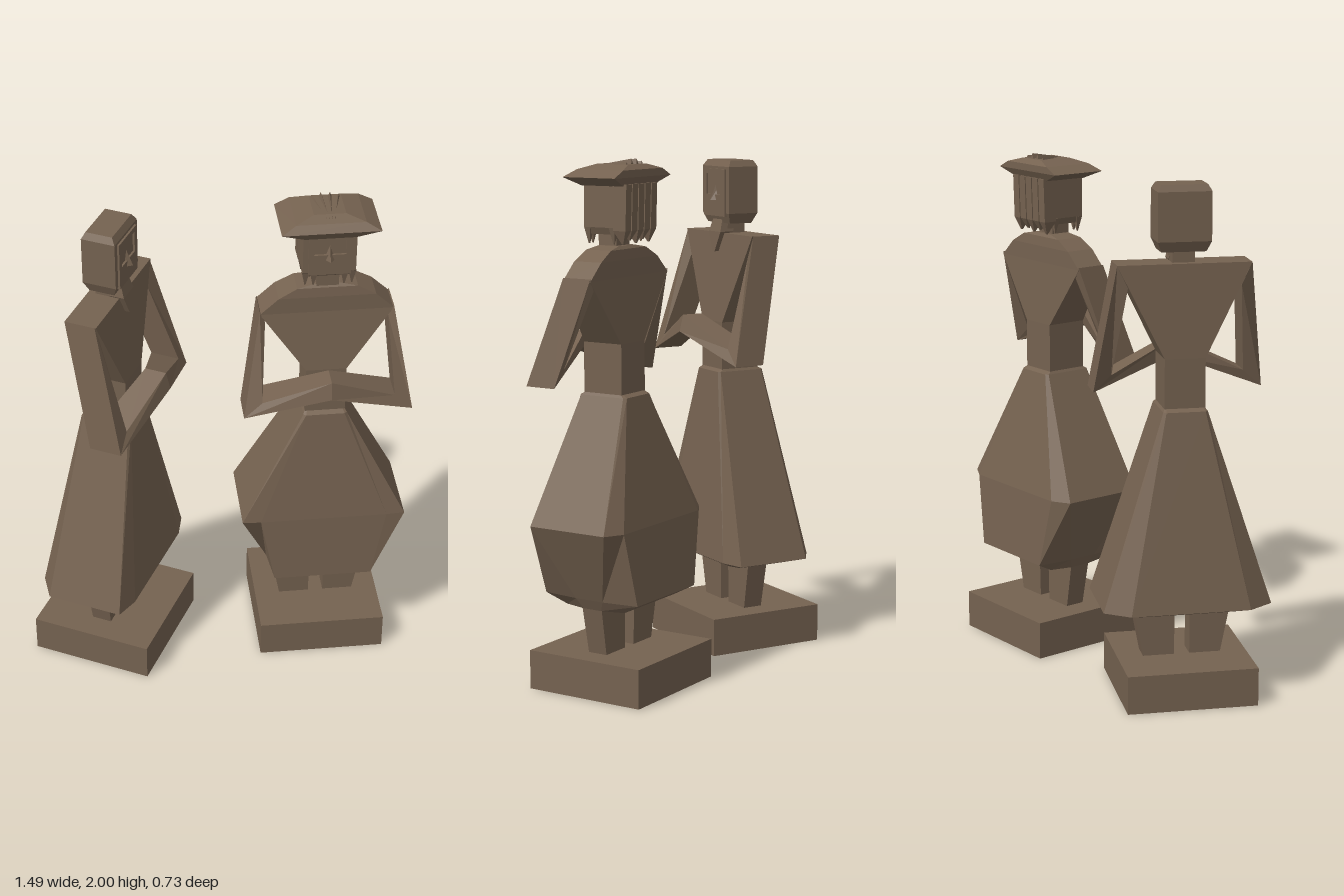
import * as THREE from 'three';

const material = new THREE.MeshStandardMaterial({ color: 0x756250, flatShading: true });

function add(parent, name, geometry, x = 0, y = 0, z = 0) {
  const mesh = new THREE.Mesh(geometry, material);
  mesh.name = name;
  mesh.position.set(x, y, z);
  parent.add(mesh);
}

function box(parent, name, w, h, d, x, y, z) {
  add(parent, name, new THREE.BoxGeometry(w, h, d), x, y, z);
}

// Closed faceted solid through a list of rings with equal point counts
function loft(rings) {
  const n = rings[0].length, tris = [];
  for (let i = 0; i + 1 < rings.length; i++) {
    for (let j = 0; j < n; j++) {
      const k = (j + 1) % n;
      const a = rings[i][j], b = rings[i][k], c = rings[i + 1][k], d = rings[i + 1][j];
      tris.push([a, b, c], [a, c, d]);
    }
  }
  const last = rings[rings.length - 1];
  for (let j = 1; j + 1 < n; j++) {
    tris.push([rings[0][0], rings[0][j + 1], rings[0][j]], [last[0], last[j], last[j + 1]]);
  }
  // Turn the surface outward if the rings ran the other way
  let volume = 0;
  const [a, b, c] = [0, 0, 0].map(() => new THREE.Vector3());
  for (const t of tris) volume += a.fromArray(t[0]).dot(b.fromArray(t[1]).cross(c.fromArray(t[2])));
  if (volume < 0) tris.forEach(t => t.reverse());
  const geometry = new THREE.BufferGeometry();
  geometry.setAttribute('position', new THREE.Float32BufferAttribute(tris.flat(2), 3));
  geometry.computeVertexNormals();
  return geometry;
}

// Horizontal rectangle: half width, height, back z, front z
const rect = (w, y, zb, zf, x = 0) => [[x - w, y, zb], [x - w, y, zf], [x + w, y, zf], [x + w, y, zb]];

// Horizontal octagon: outer half width with its z span, inner half width with its z span
const oct = (y, w, zb, zf, wi, zbi, zfi) => [
  [-w, y, zb], [-w, y, zf], [-wi, y, zfi], [wi, y, zfi],
  [w, y, zf], [w, y, zb], [wi, y, zbi], [-wi, y, zbi]];

// Both arms as one folded bar, meeting at the hands in front
function arms(shoulderY, innerX, innerY) {
  const half = [
    [[.255, shoulderY, .075], [.255, shoulderY, -.045], [innerX, innerY, -.045], [innerX, innerY, .075]],
    [[.325, 1.175, .195], [.325, 1.175, .07], [.255, 1.238, .075], [.255, 1.238, .19]],
    [[0, 1.285, .262], [0, 1.285, .17], [0, 1.352, .16], [0, 1.352, .245]]];
  const mirror = ring => ring.map(([x, y, z]) => [-x, y, z]);
  return loft([...half, mirror(half[1]), mirror(half[0])]);
}

// Brow, sides and lower face standing around the sunken eyes, with a short nose
function face(parent, z) {
  const g = new THREE.Group();
  g.name = 'face';
  parent.add(g);
  box(g, 'brow', .16, .02, .02, 0, 1.92, z);
  box(g, 'lowerFace', .16, .085, .02, 0, 1.785, z);
  for (const s of [-1, 1]) box(g, 'temple', .02, .085, .02, s * .07, 1.868, z);
  add(g, 'nose', loft([
    [[-.025, 1.805, z], [0, 1.805, z + .028], [.025, 1.805, z]],
    [[-.008, 1.87, z - .015], [0, 1.87, z], [.008, 1.87, z - .015]]]));
}

// Parts shared by both figures
function figureBase(name) {
  const g = new THREE.Group();
  g.name = name;
  box(g, 'plinth', .505, .15, .495, 0, .075, 0);
  for (const s of [-1, 1]) {
    add(g, 'leg', loft([
      rect(.06, .14, -.035, .045, s * .09),
      rect(.085, .4, -.04, .05, s * .115)]));
  }
  box(g, 'neck', .085, .1, .08, 0, 1.71, .025);
  return g;
}

// Waistband, stepping in to the body
const waistband = [
  oct(1.12, .085, -.07, .12, .075, -.08, .128),
  oct(1.13, .078, -.055, .105, .07, -.06, .11)];
const waistRings = [rect(.078, 1.1, -.058, .11), rect(.078, 1.32, -.058, .11)];

function skirtFigure() {
  const g = figureBase('skirtFigure');
  add(g, 'skirt', loft([
    oct(.33, .19, -.07, .09, .14, -.1, .11),
    oct(.37, .325, -.14, .165, .23, -.205, .192),
    ...waistband]));
  add(g, 'torso', loft([...waistRings, rect(.255, 1.675, -.045, .08)]));
  add(g, 'arms', arms(1.675, .215, 1.59));
  // Head block with chamfered crown and jaw
  add(g, 'head', loft([
    rect(.085, 1.715, -.02, .08),
    rect(.102, 1.755, -.038, .095),
    rect(.102, 1.94, -.038, .095),
    rect(.088, 1.965, -.025, .08)]));
  face(g, .093);
  // Pointed collar on the chest
  add(g, 'collar', loft([
    rect(.008, 1.6, .075, .105),
    rect(.045, 1.68, .04, .1),
    rect(.035, 1.73, .03, .085)]));
  return g;
}

function hatFigure() {
  const g = figureBase('hatFigure');
  // Flat front and back panels, with the sides folded outward at knee height
  add(g, 'baggyTrousers', loft([
    oct(.33, .193, -.04, .04, .17, -.13, .13),
    oct(.37, .212, -.06, .06, .195, -.205, .21),
    oct(.65, .325, -.145, .185, .252, -.185, .19),
    ...waistband]));
  add(g, 'torso', loft([
    ...waistRings,
    rect(.255, 1.565, -.045, .075),
    rect(.185, 1.63, -.045, .075),
    rect(.115, 1.668, -.04, .07),
    rect(.05, 1.68, -.03, .06)]));
  add(g, 'arms', arms(1.575, .235, 1.53));
  add(g, 'head', loft([
    rect(.09, 1.725, -.055, .075),
    rect(.1, 1.75, -.06, .09),
    rect(.1, 1.91, -.06, .09)]));
  face(g, .088);
  // Vertical locks of hair ending in points, at the back and beside the face
  for (let i = -2; i <= 2; i++) {
    const x = i * .042;
    add(g, 'hairLock', loft([
      rect(.003, 1.69 + .012 * Math.abs(i % 2), -.075, -.07, x),
      rect(.018, 1.74, -.095, -.04, x),
      rect(.018, 1.91, -.1, -.04, x)]));
  }
  for (const s of [-1, 1]) {
    for (const [x, z] of [[.088, .075], [.088, -.035], [.058, .08]]) {
      add(g, 'hairPoint', loft([
        rect(.002, 1.69, z - .002, z + .002, s * x),
        rect(.014, 1.75, z - .014, z + .014, s * x)]));
    }
  }
  // Hat with a wide pointed brim
  add(g, 'hat', loft([
    rect(.095, 1.9, -.085, .1),
    rect(.185, 1.935, -.105, .125),
    rect(.13, 1.962, -.105, .1),
    rect(.06, 1.98, -.08, .06)]));
  // Folds fanning from the front of the crown and rising to the back
  for (const x of [-.05, -.017, .017, .05]) {
    const peak = Math.abs(x) < .03 ? 2 : 1.99;
    add(g, 'hatFold', loft([
      [[x * .3 - .004, 1.96, .08], [x * .3, 1.975, .08], [x * .3 + .004, 1.96, .08]],
      [[x - .018, 1.95, -.075], [x, peak, -.065], [x + .018, 1.95, -.075]]]));
  }
  return g;
}

export function createModel() {
  const model = new THREE.Group();
  model.name = 'pairOfFigures';
  const skirted = skirtFigure();
  skirted.position.set(-.413, 0, -.01);
  skirted.rotation.y = 1.09;
  const hatted = hatFigure();
  hatted.position.set(.419, 0, -.01);
  model.add(skirted, hatted);
  return model;
}
